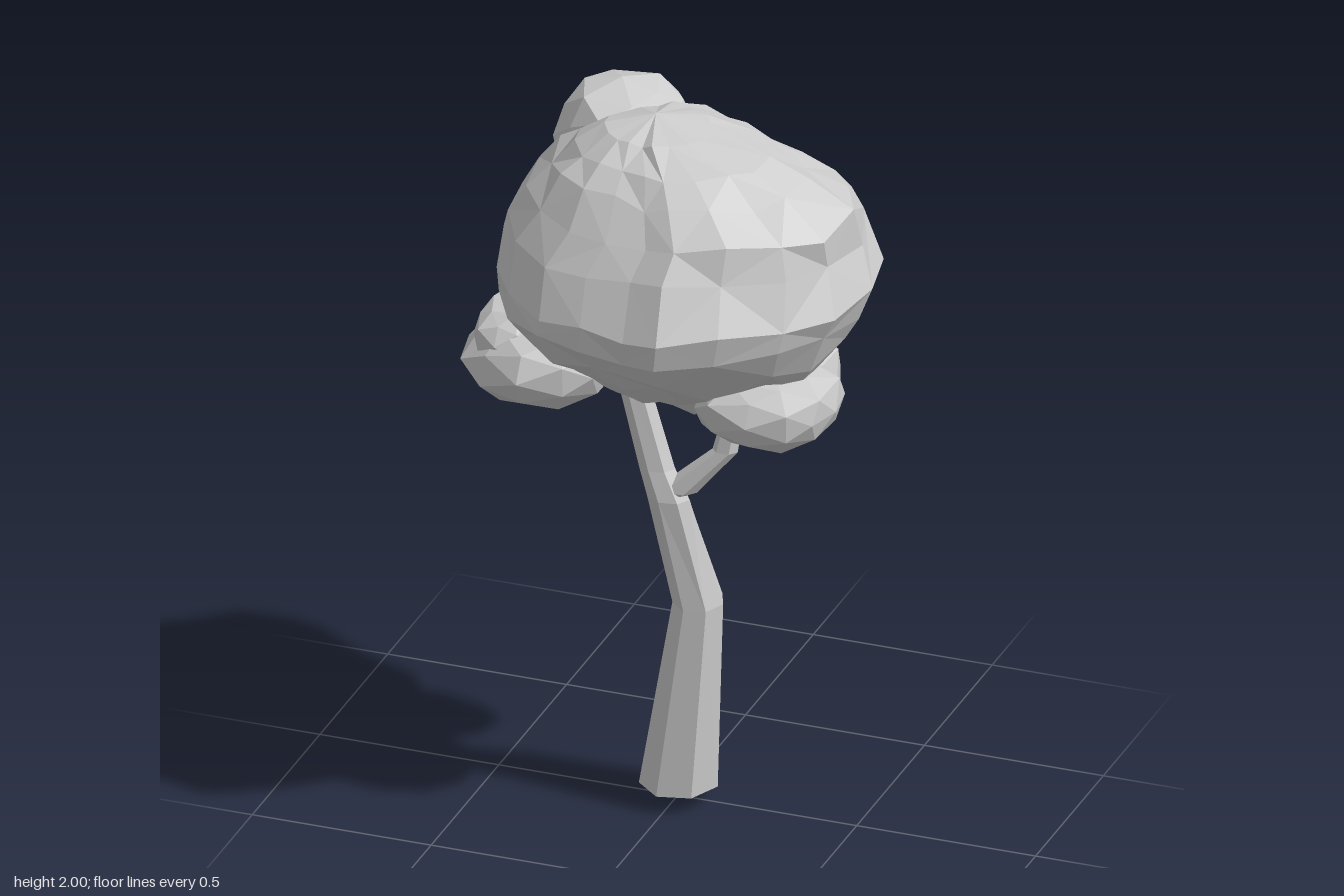
import * as THREE from 'three';
import { mergeVertices } from 'three/addons/utils/BufferGeometryUtils.js';

const material = new THREE.MeshStandardMaterial({ color: 0xcccccc, flatShading: true });

// Small seeded generator, returns -1..1
function seeded(seed) {
  let s = seed;
  return () => {
    s = (s * 16807) % 2147483647;
    return (s / 2147483647) * 2 - 1;
  };
}

// Skin a stack of closed rings (bottom to top), closed by two end points
function loft(rings, bottom, top) {
  const n = rings[0].length;
  const points = [...rings.flat(), bottom, top];
  const lo = points.length - 2, hi = points.length - 1, last = (rings.length - 1) * n;
  const index = [];
  for (let j = 0; j < n; j++) {
    const k = (j + 1) % n;
    index.push(lo, j, k, hi, last + k, last + j);
    for (let i = 0; i < rings.length - 1; i++) {
      const a = i * n + j, b = i * n + k, c = a + n, d = b + n;
      if ((i + j) % 2) index.push(a, c, b, b, c, d);
      else index.push(a, c, d, a, d, b);
    }
  }
  const geometry = new THREE.BufferGeometry().setFromPoints(points);
  geometry.setIndex(index);
  const flat = geometry.toNonIndexed();
  flat.computeVertexNormals();
  return flat;
}

function addMesh(group, name, geometry) {
  const mesh = new THREE.Mesh(geometry, material);
  mesh.name = name;
  group.add(mesh);
}

// Limb from horizontal sections: [y, xMin, xMax, zMin, zMax]
function limb(sections, sides, bottom, top) {
  const rings = sections.map(([y, x0, x1, z0, z1]) =>
    Array.from({ length: sides }, (_, j) => {
      const a = (j / sides) * Math.PI * 2;
      return new THREE.Vector3(
        (x0 + x1) / 2 + Math.cos(a) * (x1 - x0) / 2, y,
        (z0 + z1) / 2 + Math.sin(a) * (z1 - z0) / 2);
    }));
  return loft(rings, new THREE.Vector3(...bottom), new THREE.Vector3(...top));
}

// Crown: one plan outline resized to the extents of each level
function crown() {
  const rand = seeded(77);
  const outline = [
    [0.55, 0], [0.5, 0.2], [0.41, 0.31], [0.27, 0.43], [0.13, 0.51], [0.03, 0.505],
    [-0.1, 0.475], [-0.22, 0.44], [-0.34, 0.34], [-0.44, 0.18], [-0.48, 0],
    [-0.41, -0.2], [-0.3, -0.32], [-0.14, -0.43], [-0.03, -0.52], [0.04, -0.515],
    [0.15, -0.46], [0.28, -0.39], [0.41, -0.34], [0.5, -0.19],
  ];
  const levels = [
    [1.21, -0.17, 0.2, -0.15, 0.17],
    [1.32, -0.31, 0.39, -0.28, 0.3],
    [1.42, -0.42, 0.47, -0.41, 0.43],
    [1.5, -0.46, 0.52, -0.49, 0.5],
    [1.57, -0.48, 0.555, -0.52, 0.52],
    [1.7, -0.455, 0.515, -0.505, 0.435],
    [1.79, -0.385, 0.49, -0.37, 0.385],
    [1.865, -0.32, 0.37, -0.27, 0.31],
    [1.925, -0.26, 0.27, -0.19, 0.25],
    [1.97, -0.18, 0.11, -0.11, 0.17],
  ];
  const rings = levels.map(([y, x0, x1, z0, z1], i) => outline.map(([x, z]) => {
    const u = (x - 0.035) / 0.515, v = z / 0.52;
    // Fuller on the front diagonals away from the widest level
    const swell = i === 4 ? 0.03 : 0.12;
    const r = 0.995 + rand() * 0.02 + swell * Math.abs(u) * v;
    const lift = i > 7 ? 0.008 : 0.02;
    return new THREE.Vector3(
      (x0 + x1) / 2 + u * r * (x1 - x0) / 2,
      y + rand() * lift,
      (z0 + z1) / 2 + v * r * (z1 - z0) / 2);
  }));
  return loft(rings, new THREE.Vector3(0.02, 1.2, 0), new THREE.Vector3(-0.05, 2, 0.03));
}

// Faceted leaf clump, slightly squared off
function clump(seed, [x, y, z], [rx, ry, rz]) {
  const rand = seeded(seed);
  const base = new THREE.IcosahedronGeometry(1, 1);
  base.deleteAttribute('normal');
  base.deleteAttribute('uv');
  const geometry = mergeVertices(base, 1e-3);
  const p = geometry.attributes.position;
  const square = (v) => Math.sign(v) * Math.abs(v) ** 0.85;
  for (let i = 0; i < p.count; i++) {
    const r = 0.97 + rand() * 0.07;
    p.setXYZ(i,
      x + square(p.getX(i)) * rx * r,
      y + square(p.getY(i)) * ry * r,
      z + square(p.getZ(i)) * rz * r);
  }
  const flat = geometry.toNonIndexed();
  flat.computeVertexNormals();
  return flat;
}

export function createModel() {
  const tree = new THREE.Group();
  tree.name = 'tree';

  // Bent trunk with a shallow pointed foot
  addMesh(tree, 'trunk', limb([
    [0.05, -0.097, 0.115, -0.107, 0.124],
    [0.59, -0.003, 0.133, -0.062, 0.094],
    [0.9, -0.062, 0.055, 0.012, 0.102],
    [0.98, -0.088, 0.012, 0.01, 0.09],
    [1.22, -0.157, -0.07, 0, 0.065],
  ], 7, [0, 0, 0.01], [-0.12, 1.28, 0.03]));

  // Side branch forking from the trunk
  addMesh(tree, 'branch', limb([
    [0.925, -0.035, 0.075, 0.025, 0.09],
    [1.05, 0.11, 0.18, 0.008, 0.058],
    [1.22, 0.15, 0.2, -0.02, 0.033],
  ], 6, [0, 0.89, 0.06], [0.18, 1.28, 0]));

  // Foliage
  addMesh(tree, 'crown', crown());
  const clumps = [
    ['rightLowerClump', 11, [-0.335, 1.285, 0.08], [0.215, 0.12, 0.23]],
    ['rightLowerKnob', 23, [-0.42, 1.35, 0.1], [0.1, 0.09, 0.15]],
    ['rightBackKnob', 29, [-0.37, 1.315, -0.03], [0.14, 0.125, 0.13]],
    ['leftFrontClump', 37, [0.31, 1.275, 0.14], [0.195, 0.11, 0.19]],
    ['leftBackClump', 41, [0.24, 1.225, -0.135], [0.165, 0.11, 0.135]],
    ['topClump', 59, [-0.225, 1.825, -0.185], [0.185, 0.15, 0.185]],
  ];
  for (const [name, seed, center, radii] of clumps) {
    addMesh(tree, name, clump(seed, center, radii));
  }
  return tree;
}
